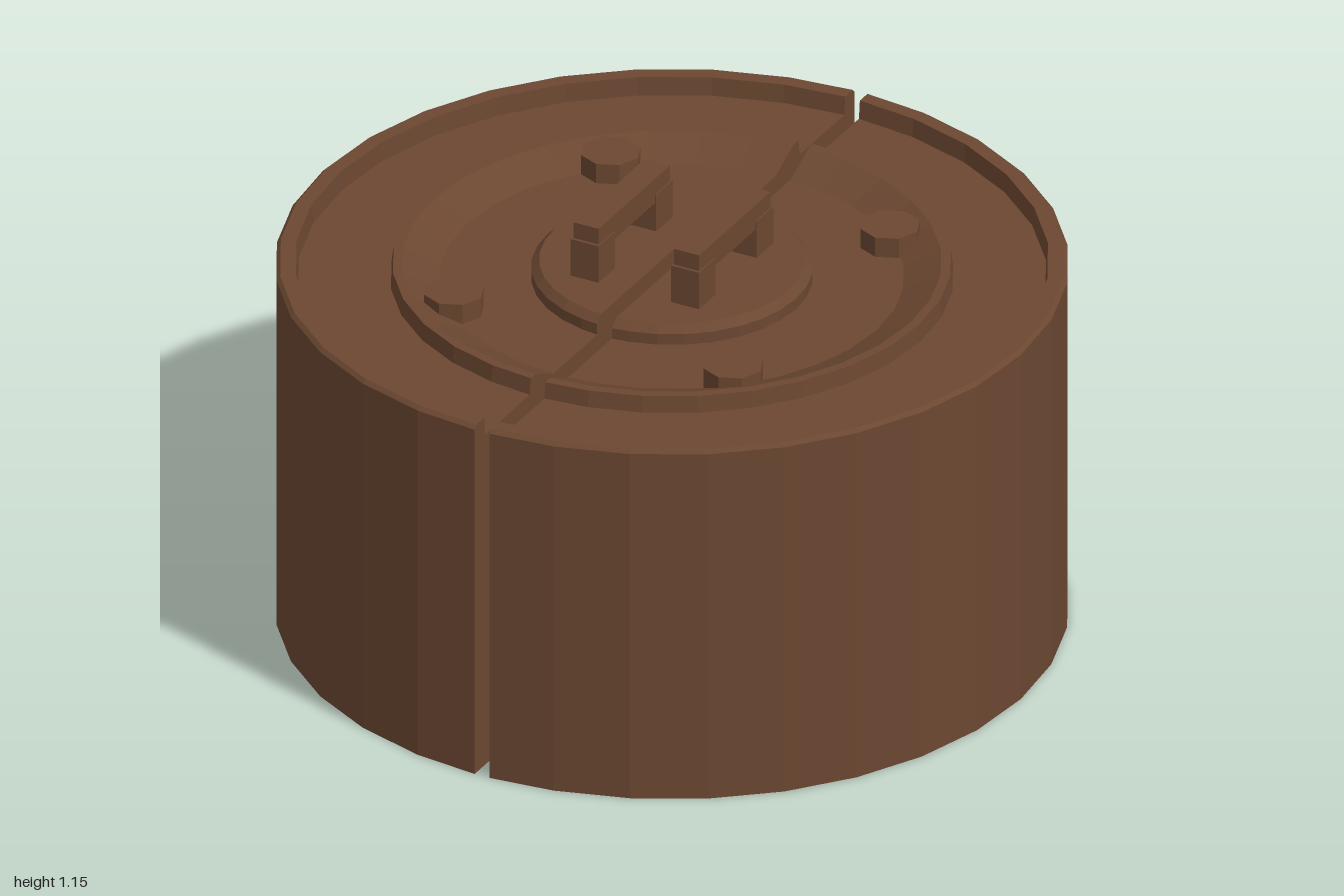
import * as THREE from 'three';

const GAP = 0.021; // half the width of the split between the two halves

export function createModel() {
  const group = new THREE.Group();
  group.name = 'splitRoundHatch';
  const brown = new THREE.MeshStandardMaterial({ color: 0x6b4731, flatShading: true });
  brown.name = 'brown';

  const add = (parent, name, geometry, x = 0, y = 0, z = 0) => {
    const mesh = new THREE.Mesh(geometry, brown);
    mesh.name = name;
    mesh.position.set(x, y, z);
    parent.add(mesh);
    return mesh;
  };

  // Radius and height, from the base up over the rim to the central disc
  const profile = [
    [0, 0], [1, 0], [1, 0.99], [0.99, 1], [0.95, 1], [0.945, 0.95],
    [0.71, 0.95], [0.705, 0.995], [0.68, 0.995], [0.585, 0.95],
    [0.355, 0.95], [0.355, 0.98], [0.335, 1], [0, 1],
  ].map(([r, y]) => new THREE.Vector2(r, y));

  // Half turn of the profile, trimmed flat at the split
  const shell = new THREE.LatheGeometry(profile, 16, 0, Math.PI);
  const pos = shell.attributes.position;
  for (let i = 0; i < pos.count; i++) pos.setX(i, Math.max(pos.getX(i), GAP));
  shell.computeVertexNormals();

  // Flat wall closing the split side
  const edge = profile.slice(1, -1);
  const mirrored = edge.map((p) => new THREE.Vector2(-p.x, p.y)).reverse();
  const wall = new THREE.ShapeGeometry(new THREE.Shape([...edge, ...mirrored]));
  wall.rotateY(-Math.PI / 2).translate(GAP, 0, 0);

  const bolt = new THREE.CylinderGeometry(0.078, 0.078, 0.065, 8);
  const leg = new THREE.BoxGeometry(0.08, 0.115, 0.088);
  const bar = new THREE.BoxGeometry(0.072, 0.07, 0.376);

  for (const side of [1, -1]) {
    const half = new THREE.Group();
    half.name = side > 0 ? 'leftHalf' : 'rightHalf';
    half.rotation.y = side > 0 ? 0 : Math.PI;
    add(half, 'body', shell);
    add(half, 'splitWall', wall);

    // Bolts in the dished ring
    for (const z of [-0.413, 0.413]) add(half, 'bolt', bolt, 0.4, 0.9725, z);

    // Lifting handle
    const handle = new THREE.Group();
    handle.name = 'handle';
    handle.position.x = 0.144;
    for (const z of [-0.152, 0.152]) add(handle, 'handleLeg', leg, 0, 1.0475, z);
    add(handle, 'handleBar', bar, 0, 1.115, 0);
    half.add(handle);

    group.add(half);
  }
  return group;
}
